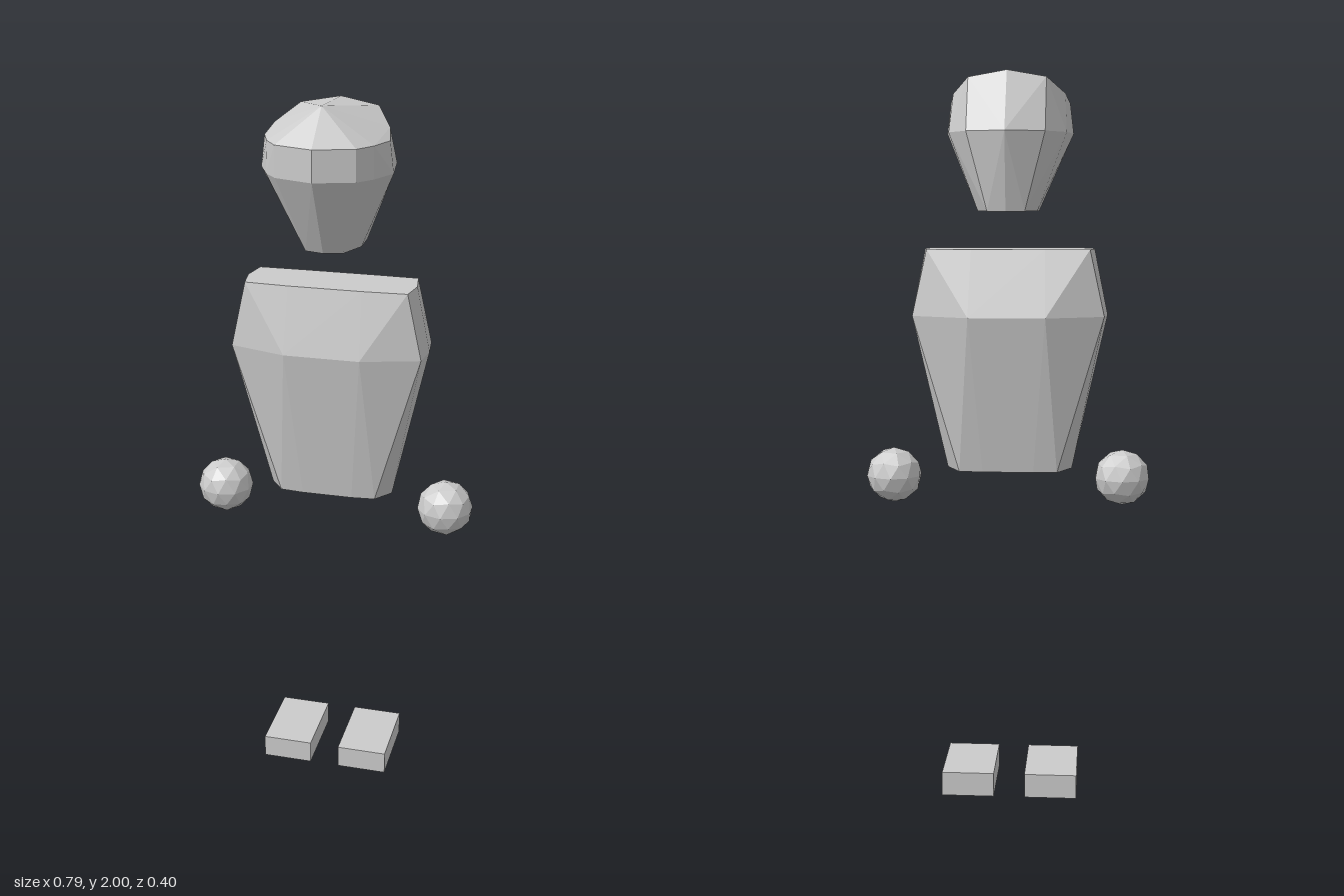
import * as THREE from 'three';
import { ConvexGeometry } from 'three/addons/geometries/ConvexGeometry.js';

const material = new THREE.MeshStandardMaterial({ color: 0xcccccc, flatShading: true });

function addMesh(parent, name, geometry, x = 0, y = 0, z = 0) {
  const mesh = new THREE.Mesh(geometry, material);
  mesh.name = name;
  mesh.position.set(x, y, z);
  parent.add(mesh);
  return mesh;
}

// Faceted solid from half cross-sections [x, y, z], mirrored across x = 0
function mirroredSolid(halfPoints) {
  const points = [];
  for (const [x, y, z] of halfPoints) {
    points.push(new THREE.Vector3(x, y, z));
    if (x > 0) points.push(new THREE.Vector3(-x, y, z));
  }
  return new ConvexGeometry(points);
}

// Places a half ring of [x, z] pairs at one height
const ring = (y, pairs) => pairs.map(([x, z]) => [x, y, z]);

export function createModel() {
  const group = new THREE.Group();

  // Head: narrow jaw, wide cheek line, brow and bent crown
  addMesh(group, 'head', mirroredSolid([
    ...ring(1.622, [[0, 0.088], [0.05, 0.075], [0.082, 0.0], [0.08, -0.08], [0.05, -0.145], [0, -0.157]]),
    ...ring(1.83, [[0, 0.198], [0.104, 0.164], [0.14, 0.12], [0.174, 0.045], [0.158, -0.075], [0.104, -0.16], [0, -0.2]]),
    ...ring(1.912, [[0, 0.198], [0.104, 0.164], [0.138, 0.115], [0.164, 0.045]]),
    [0, 2.0, 0.097], [0.152, 1.935, -0.008], [0.104, 1.973, -0.092], [0, 1.99, -0.105],
  ]), -0.005);

  // Torso: three cross-sections, broadest at the chest
  addMesh(group, 'torso', mirroredSolid([
    ...ring(1.52, [[0.1, 0.064], [0.221, 0.058], [0.233, -0.013], [0.221, -0.088], [0.1, -0.09]]),
    ...ring(1.34, [[0.104, 0.106], [0.261, 0.06], [0.27, -0.015], [0.261, -0.093], [0.104, -0.16]]),
    ...ring(0.91, [[0.07, 0.042], [0.135, 0.036], [0.174, -0.015], [0.135, -0.088], [0.07, -0.092]]),
  ]), -0.007);

  // Hands: small faceted balls with a vertex pointing up
  const ball = new THREE.IcosahedronGeometry(0.078, 1).rotateZ(Math.atan(2 / (1 + Math.sqrt(5))));
  addMesh(group, 'rightHand', ball, -0.322, 0.885, -0.012);
  addMesh(group, 'leftHand', ball, 0.32, 0.885, -0.012);

  // Feet: flat blocks
  const foot = new THREE.BoxGeometry(0.145, 0.067, 0.223);
  addMesh(group, 'rightFoot', foot, -0.131, 0.0335, -0.062);
  addMesh(group, 'leftFoot', foot, 0.1, 0.0335, -0.062);

  return group;
}
